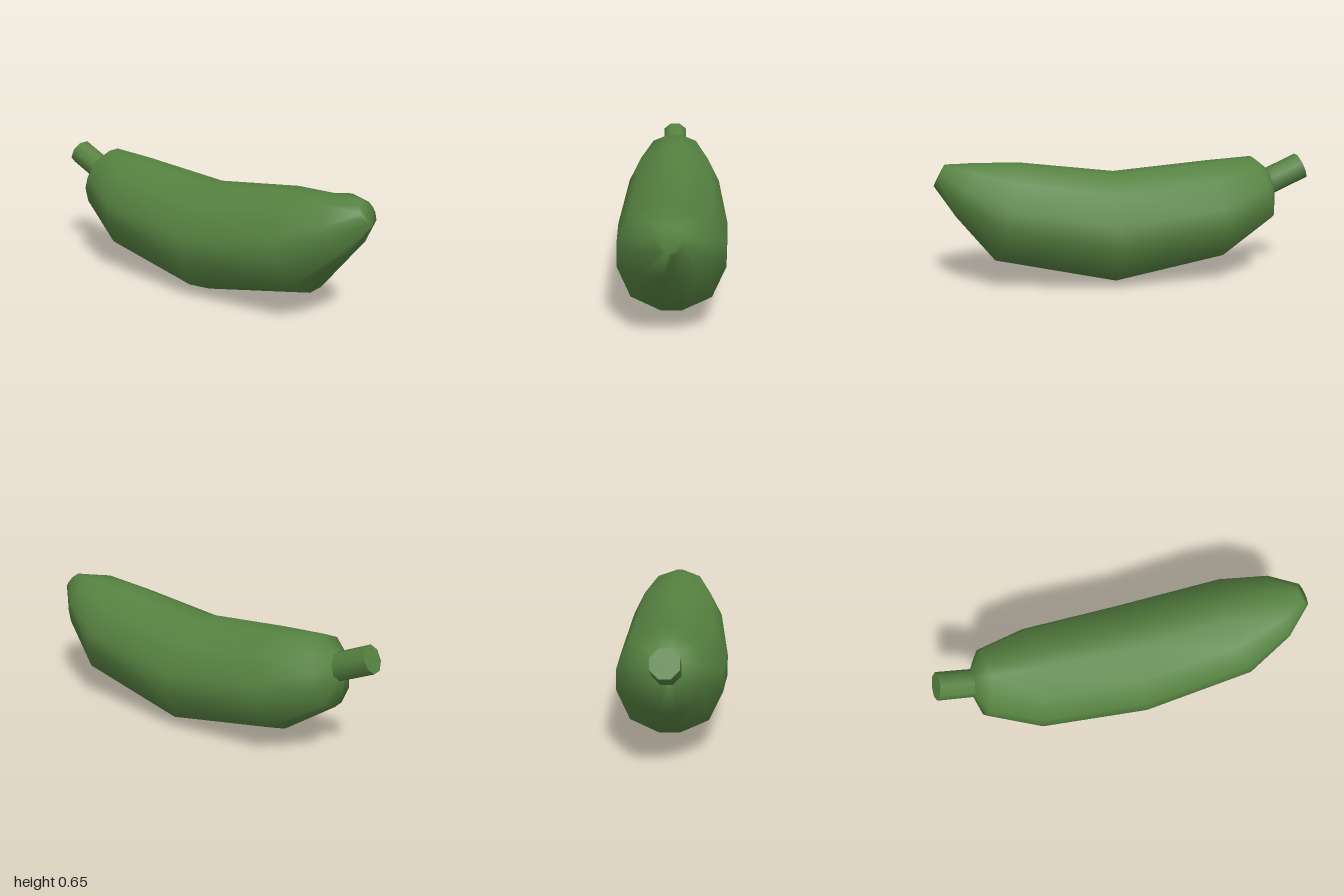
import * as THREE from 'three';

// Twelve-sided cross-section: direction across (z) and along the section's height
const ringShape = [
  [0.19, -1], [0.74, -0.75], [1, -0.2], [1, 0.2], [0.74, 0.75], [0.19, 1],
  [-0.19, 1], [-0.74, 0.75], [-1, 0.2], [-1, -0.2], [-0.74, -0.75], [-0.19, -1],
];

// Stations along the bent body: bottom point, top point, half width, shoulder height
const stations = [
  { bottom: [-0.815, 0.45], top: [-0.78, 0.575], width: 0.06, shoulder: 0.75 },
  { bottom: [-0.8, 0.31], top: [-0.69, 0.645], width: 0.17, shoulder: 0.75 },
  { bottom: [-0.53, 0.115], top: [-0.45, 0.625], width: 0.26, shoulder: 0.75 },
  { bottom: [0.06, 0], top: [0.06, 0.58], width: 0.29, shoulder: 0.75 },
  { bottom: [0.7, 0.14], top: [0.55, 0.64], width: 0.26, shoulder: 0.75 },
  { bottom: [0.9, 0.39], top: [0.8, 0.647], width: 0.17, shoulder: 0.88 },
  { bottom: [1.0, 0.54], top: [0.94, 0.648], width: 0.06, shoulder: 0.75 },
];

function bodyGeometry() {
  const positions = [];
  const index = [];
  const sides = ringShape.length;
  for (const { bottom, top, width, shoulder } of stations) {
    for (const [across, height] of ringShape) {
      const h = Math.abs(height) === 0.75 ? Math.sign(height) * shoulder : height;
      const t = (h + 1) / 2;
      positions.push(
        bottom[0] + (top[0] - bottom[0]) * t,
        bottom[1] + (top[1] - bottom[1]) * t,
        across * width,
      );
    }
  }
  // Skin between neighbouring rings
  for (let s = 0; s < stations.length - 1; s++) {
    for (let i = 0; i < sides; i++) {
      const a = s * sides + i;
      const b = s * sides + (i + 1) % sides;
      index.push(a, a + sides, b, b, a + sides, b + sides);
    }
  }
  // Close both ends
  const last = (stations.length - 1) * sides;
  for (let i = 1; i < sides - 1; i++) {
    index.push(0, i, i + 1);
    index.push(last, last + i + 1, last + i);
  }
  const geometry = new THREE.BufferGeometry();
  geometry.setAttribute('position', new THREE.Float32BufferAttribute(positions, 3));
  geometry.setIndex(index);
  geometry.computeVertexNormals();
  return geometry;
}

export function createModel() {
  const model = new THREE.Group();
  model.name = 'vegetable';
  const green = new THREE.MeshStandardMaterial({ color: 0x568241 });
  green.name = 'green';

  const body = new THREE.Mesh(bodyGeometry(), green);
  body.name = 'body';
  model.add(body);

  // Eight-sided stem leaning up and out of the blunt end
  const start = new THREE.Vector3(-0.76, 0.497, 0);
  const end = new THREE.Vector3(-0.965, 0.592, 0);
  const direction = end.clone().sub(start);
  const stemGeometry = new THREE.CylinderGeometry(0.072, 0.072, direction.length(), 8);
  stemGeometry.rotateY(Math.PI / 8);
  const stem = new THREE.Mesh(stemGeometry, green);
  stem.name = 'stem';
  stem.position.copy(start).add(end).multiplyScalar(0.5);
  stem.quaternion.setFromUnitVectors(new THREE.Vector3(0, 1, 0), direction.normalize());
  model.add(stem);

  return model;
}
